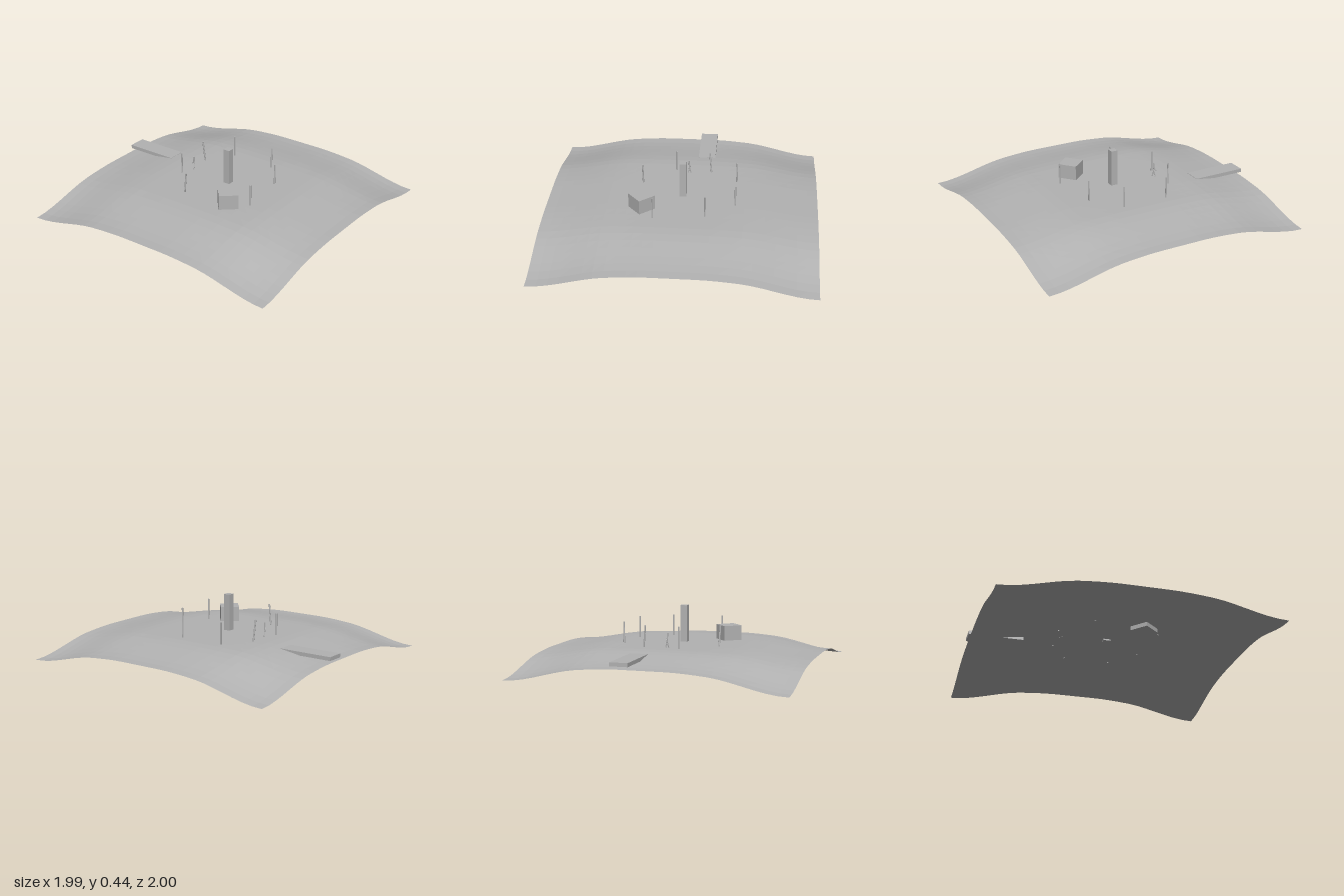
import * as THREE from 'three';

const TOP = 0.176; // height of the flat hilltop

// Smooth 0..1 falloff from the hilltop to the border
const fall = (v, start) => THREE.MathUtils.smoothstep(Math.abs(v), start, 1);

function hillHeight(x, z) {
  return TOP - 0.058 * (fall(x, 0.45) + fall(z, 0.45)) - 0.06 * fall(x, 0.15) * fall(z, 0.15);
}

export function createModel() {
  const model = new THREE.Group();
  model.name = 'hilltopSite';
  const grey = new THREE.MeshStandardMaterial({ color: 0xb2b2b2 });
  grey.name = 'stoneGrey';
  grey.flatShading = true;
  grey.side = THREE.DoubleSide;

  function add(name, geometry, x, y, z) {
    const mesh = new THREE.Mesh(geometry, grey);
    mesh.name = name;
    mesh.position.set(x, y, z);
    model.add(mesh);
    return mesh;
  }

  // Thin round pole between two points
  function pole(name, from, to, radius) {
    const a = new THREE.Vector3(...from), b = new THREE.Vector3(...to);
    const dir = b.clone().sub(a);
    const mid = a.clone().add(b).multiplyScalar(0.5);
    const mesh = add(name, new THREE.CylinderGeometry(radius, radius, dir.length(), 8), mid.x, mid.y, mid.z);
    mesh.quaternion.setFromUnitVectors(new THREE.Vector3(0, 1, 0), dir.normalize());
  }

  // Ground sheet, domed by the height rule
  const ground = new THREE.PlaneGeometry(1.99, 1.99, 26, 26).rotateX(-Math.PI / 2);
  const p = ground.attributes.position;
  for (let i = 0; i < p.count; i++) {
    p.setY(i, hillHeight(p.getX(i) / 0.995, p.getZ(i) / 0.995));
  }
  ground.computeVertexNormals();
  add('ground', ground, -0.003, 0, 0.004);

  // Central pillar, turned block and the platform jutting out at the back
  add('pillar', new THREE.BoxGeometry(0.05, 0.28, 0.05), 0.002, 0.305, 0);
  add('block', new THREE.BoxGeometry(0.139, 0.139, 0.139), -0.282, 0.215, 0.203).rotation.y = 0.71;
  add('platform', new THREE.BoxGeometry(0.13, 0.027, 0.4), 0.142, 0.153, -0.8);

  // Ring of upright posts
  const posts = [[0.39, 0.12], [0.18, 0.29], [-0.192, 0.335], [-0.072, -0.374], [0.39, -0.222]];
  for (const [x, z] of posts) pole('post', [x, 0.17, z], [x, 0.333, z], 0.006);

  // Two leaning posts of the ring
  pole('leaningPost', [-0.309, 0.17, -0.163], [-0.312, 0.333, -0.146], 0.006);
  pole('leaningPost', [0.192, 0.17, -0.356], [0.177, 0.333, -0.366], 0.006);

  // Small stick figure stand inside the ring
  const hip = [0.024, 0.225, -0.338];
  pole('standLeg', [0.035, 0.172, -0.342], hip, 0.004);
  pole('standLeg', [0.015, 0.172, -0.328], hip, 0.004);
  pole('standBody', hip, [0.02, 0.28, -0.336], 0.005);
  pole('standArm', [0.03, 0.215, -0.352], [0.021, 0.255, -0.336], 0.003);

  return model;
}
